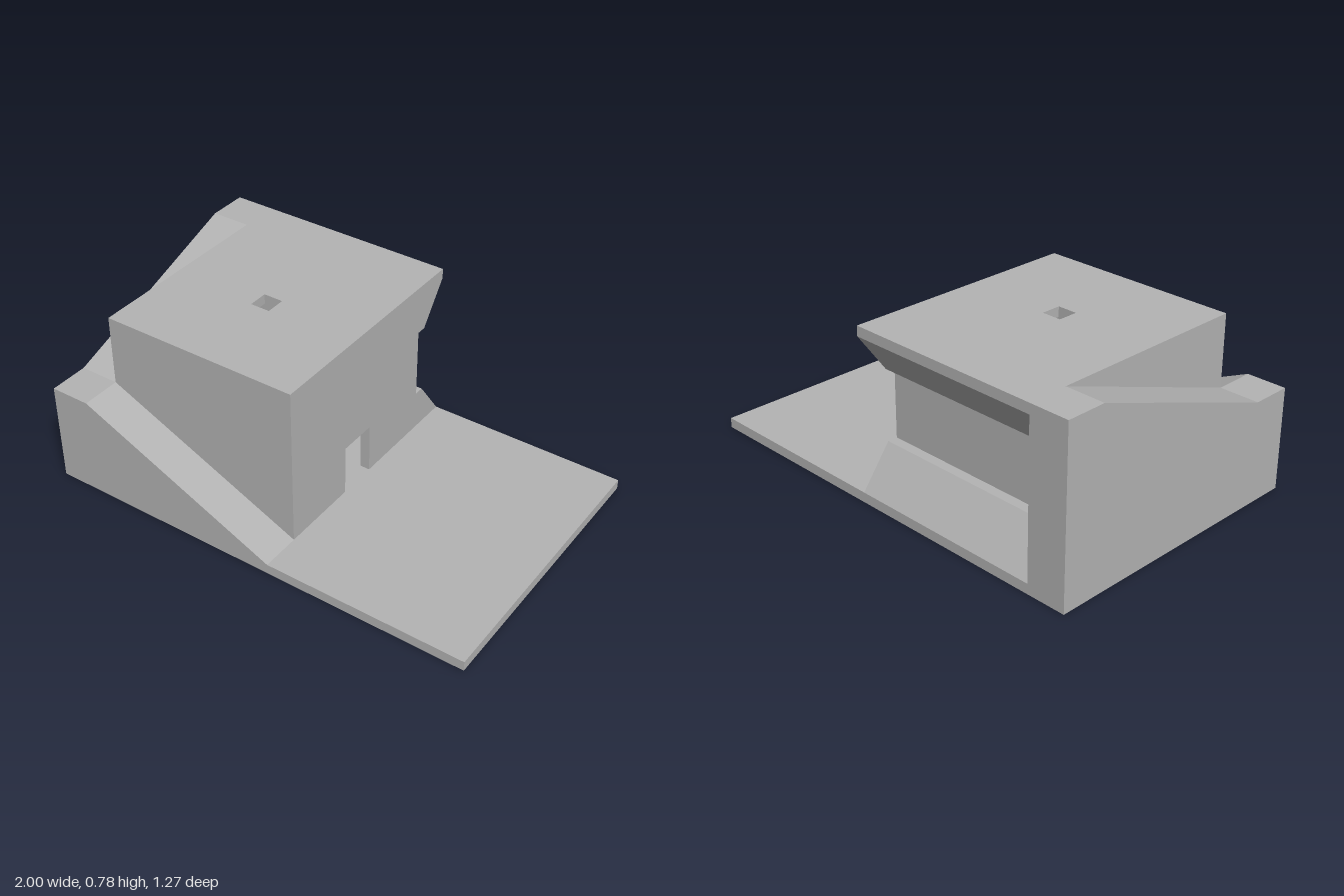
import * as THREE from 'three';

export function createModel() {
  const model = new THREE.Group();
  const grey = new THREE.MeshStandardMaterial({ color: 0xb4b4b4 });
  grey.name = 'plain grey';

  // Main levels: slab top, wall thickness, house ends, room ends
  const T = 0.045, H = 0.775, ROOF = H - T, LEDGE = 0.455;
  const X0 = -0.82, X1 = 0.09, Z = 0.455, ZR = Z - T, ZE = 0.635;

  function add(name, geometry) {
    const mesh = new THREE.Mesh(geometry, grey);
    mesh.name = name;
    model.add(mesh);
  }
  function block(name, x0, x1, y0, y1, z0, z1) {
    const g = new THREE.BoxGeometry(x1 - x0, y1 - y0, z1 - z0);
    add(name, g.translate((x0 + x1) / 2, (y0 + y1) / 2, (z0 + z1) / 2));
  }
  const outline = pts => new THREE.Shape(pts.map(p => new THREE.Vector2(...p)));
  const extrude = (shape, depth) =>
    new THREE.ExtrudeGeometry(shape, { depth, bevelEnabled: false });
  // Side profile given as [z, y], swept along x
  function sweepX(name, pts, x0, x1) {
    const g = extrude(outline(pts.map(([z, y]) => [-z, y])), x1 - x0);
    add(name, g.rotateY(Math.PI / 2).translate(x0, 0, 0));
  }

  block('baseSlab', -1, 1, 0, T, -ZE, ZE);

  // Hollow house
  block('frontWall', X0, X1, T, H, ZR, Z);
  block('leftRoomWall', X0, X0 + T, T, ROOF, -ZR, ZR);
  sweepX('doorWall', [
    [ZR, T], [0.09, T], [0.09, 0.275], [-0.09, 0.275], [-0.09, T],
    [-ZR, T], [-ZR, ROOF], [ZR, ROOF],
  ], X1 - T, X1);

  // Roof with a square opening
  const roof = outline([[X0, -ZR], [X1, -ZR], [X1, ZR], [X0, ZR]]);
  const cx = (X0 + X1) / 2, h = 0.045;
  roof.holes.push(outline([[cx - h, -h], [cx - h, h], [cx + h, h], [cx + h, -h]]));
  add('roof', extrude(roof, T).rotateX(-Math.PI / 2).translate(0, ROOF, 0));

  // Back wall with the splayed recess, open at its right end
  sweepX('backRecess', [
    [-ZR, T], [-ZE, T], [-0.5, 0.228], [-Z, 0.228],
    [-Z, 0.548], [-0.5, 0.548], [-ZE, ROOF], [-ZE, H], [-ZR, H],
  ], X0, X1);

  // Ramp descending along the front from the corner landing
  const ramp = outline([[-1, T], [X1, T], [X0, LEDGE], [-1, LEDGE]]);
  add('frontRamp', extrude(ramp, ZE - Z).translate(0, 0, Z));

  // Ramp climbing along the side from the landing to the roof
  sweepX('sideRamp', [[Z, T], [Z, LEDGE], [-Z, H], [-ZE, H], [-ZE, T]], -1, X0);

  return model;
}
